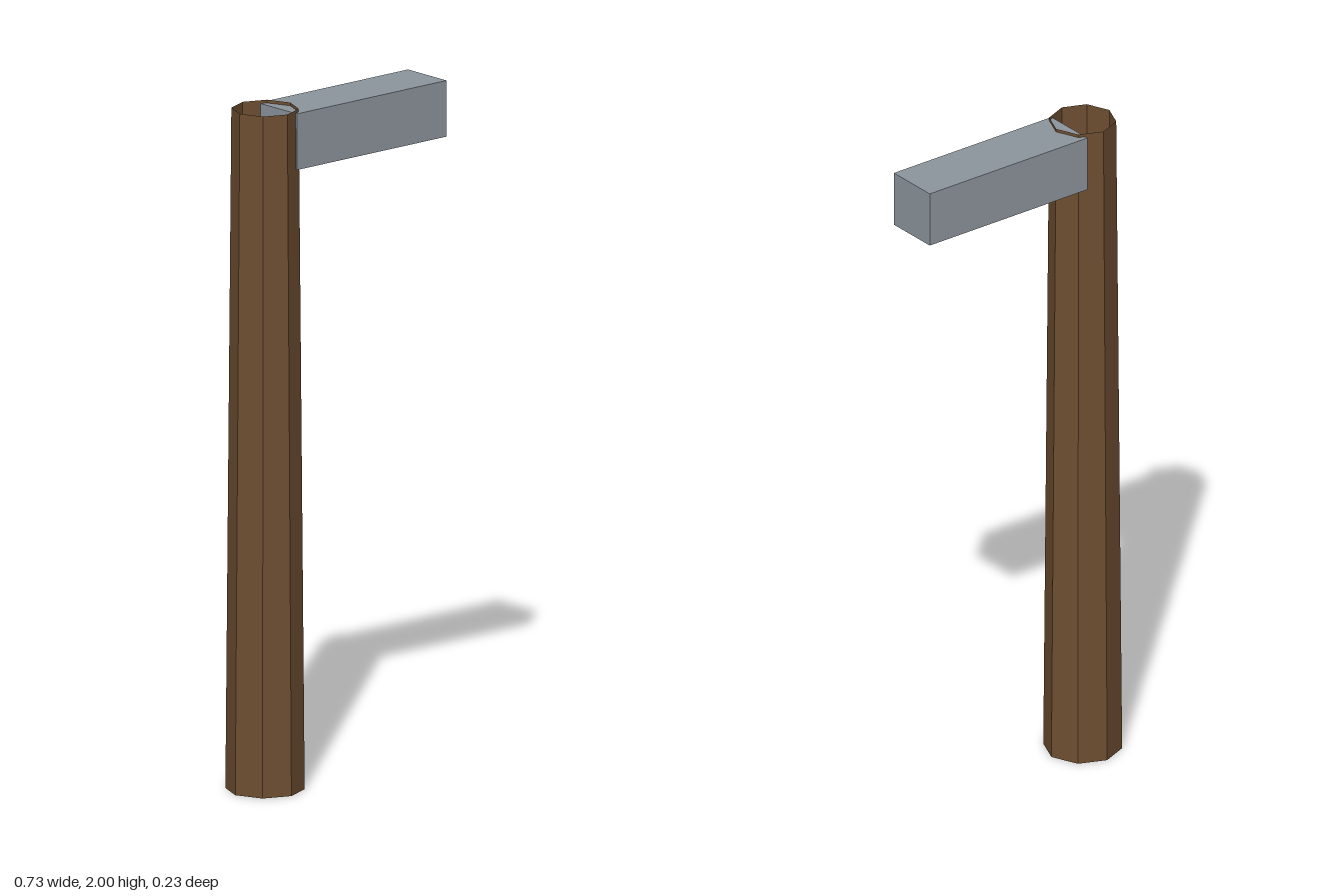
import * as THREE from 'three';

export function createModel() {
  const model = new THREE.Group();
  const wood = new THREE.MeshStandardMaterial({ color: 0x6f4f32, flatShading: true, side: THREE.DoubleSide });
  wood.name = 'brown wood';
  const metal = new THREE.MeshStandardMaterial({ color: 0x8e969e, flatShading: true });
  metal.name = 'blue grey metal';

  // Hollow, tapered eight-sided post, open at both ends
  const post = new THREE.Mesh(new THREE.CylinderGeometry(0.096, 0.113, 2, 8, 1, true), wood);
  post.name = 'post';
  post.position.set(-0.253, 1, 0);
  model.add(post);

  // Square arm running through the side of the post near its top
  const arm = new THREE.Mesh(new THREE.BoxGeometry(0.569, 0.165, 0.166), metal);
  arm.name = 'arm';
  arm.position.set(0.081, 1.908, -0.002);
  model.add(arm);

  return model;
}
